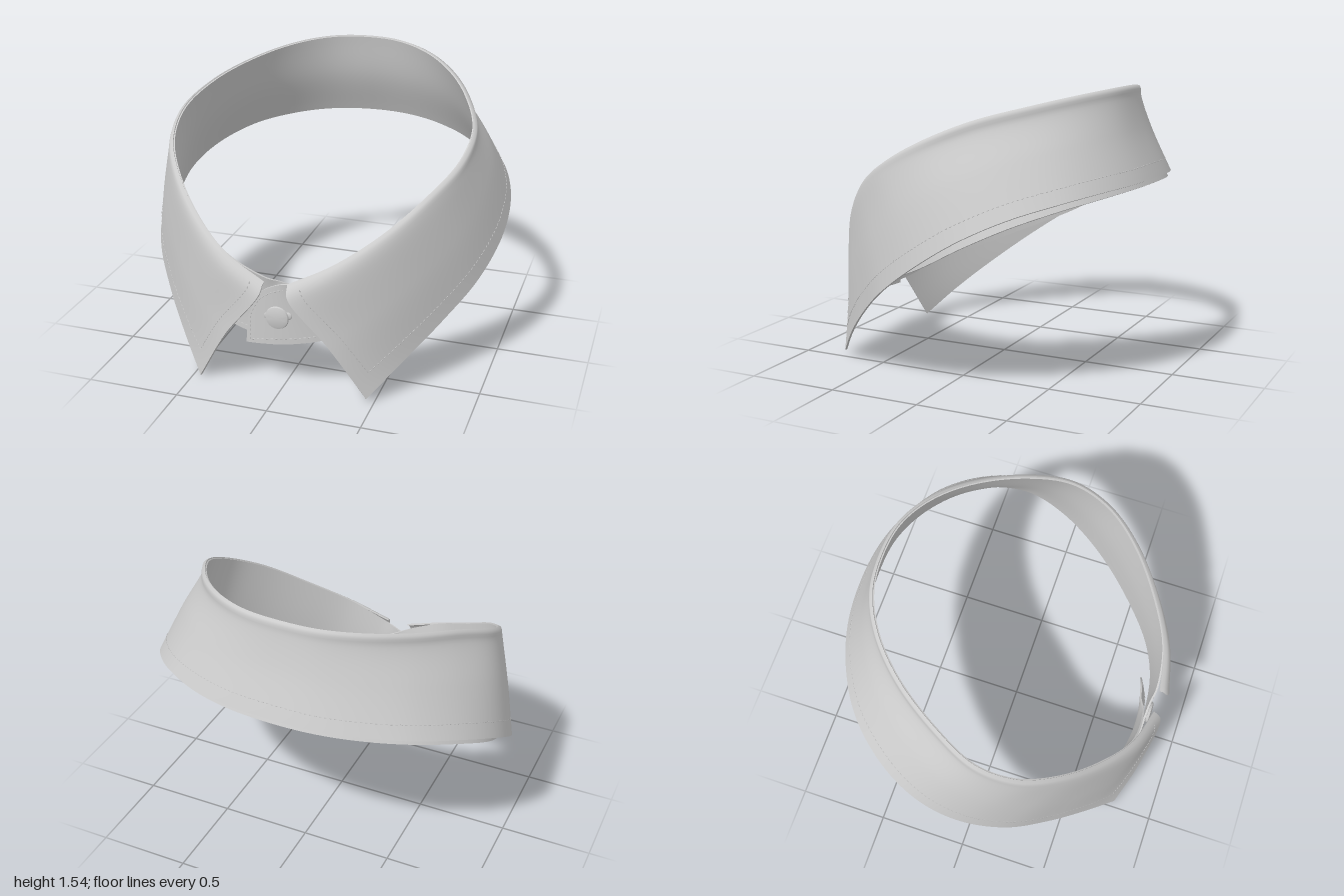
import * as THREE from 'three';
import { mergeGeometries, toCreasedNormals } from 'three/addons/utils/BufferGeometryUtils.js';

const material = new THREE.MeshStandardMaterial({ color: 0xcccccc, side: THREE.DoubleSide });
const V = (x, y, z) => new THREE.Vector3(x, y, z);
const vecs = (list) => list.map((p) => V(...p));
const mirror = (list) => list.map((p) => V(-p.x, p.y, p.z));
// Joins a right and a left half (each from centre back to front); the left side sits a little higher
const around = (right, left) => new THREE.CatmullRomCurve3(
  [...mirror(right).reverse(), ...left.slice(1)].map((p) => V(p.x, p.y + 0.025 * p.x, p.z)));

// Left half of the fold at the top of the collar, from centre back to front
const foldPoints = vecs([
  [0, 1.54, -0.728], [0.2, 1.533, -0.703], [0.392, 1.508, -0.605], [0.575, 1.46, -0.43],
  [0.735, 1.385, -0.18], [0.825, 1.285, 0.05], [0.805, 1.175, 0.265], [0.7, 1.06, 0.452],
  [0.515, 0.9, 0.64], [0.295, 0.76, 0.78], [0.065, 0.65, 0.84]]);
// Lower edge of the turned-down leaf, ending in the point
const leafEdge = vecs([
  [0, 1.07, -0.89], [0.25, 1.062, -0.868], [0.48, 1.045, -0.792], [0.7, 1.008, -0.66],
  [0.885, 0.935, -0.45], [0.98, 0.83, -0.235], [0.992, 0.69, -0.01], [0.914, 0.515, 0.24],
  [0.767, 0.342, 0.45], [0.605, 0.172, 0.63], [0.46, 0.015, 0.77]]);
// Lower edge of the inner stand
const standEdge = vecs([
  [0, 1.04, -0.88], [0.245, 1.033, -0.856], [0.47, 1.01, -0.777], [0.682, 0.967, -0.64],
  [0.855, 0.885, -0.43], [0.937, 0.785, -0.225], [0.92, 0.665, 0], [0.805, 0.555, 0.25],
  [0.62, 0.45, 0.49], [0.42, 0.38, 0.67]]);

const fold = around(foldPoints, foldPoints);
const outward = (u) => {
  const t = fold.getTangent(u);
  return V(t.z, 0, -t.x).normalize();
};

// Leaf cross-section: turns over the fold, then flares down to its edge
const leafBottom = around(leafEdge, leafEdge);
function leafSection(u) {
  const f = fold.getPoint(u), b = leafBottom.getPoint(u), out = outward(u);
  const s = Math.abs(u - 0.5) * 2;
  const shift = (p, o, y) => p.clone().addScaledVector(out, o).add(V(0, y, 0));
  return new THREE.CatmullRomCurve3([
    shift(f, -0.01, -0.006), shift(f, 0.004, -0.012), shift(f, 0.01 + 0.028 * s ** 4, -0.06),
    shift(f.clone().lerp(b, 0.5), 0.06 * s ** 1.5 - 0.02, 0), b]);
}

// Stand cross-section; its two front ends overlap at the button
const standTop = foldPoints.slice(0, 10).map((p, i) =>
  p.clone().addScaledVector(outward(0.5 + i / 20), -0.012).add(V(0, -0.008, 0)));
const upper = around(
  [...standTop, ...vecs([[0.08, 0.645, 0.775], [0, 0.612, 0.74], [-0.1, 0.57, 0.718], [-0.165, 0.48, 0.705]])],
  [...standTop, ...vecs([[0.08, 0.645, 0.81], [-0.01, 0.618, 0.797], [-0.1, 0.565, 0.792], [-0.17, 0.42, 0.792]])]);
const lower = around(
  [...standEdge, ...vecs([[0.25, 0.325, 0.735], [0.05, 0.3, 0.765], [-0.09, 0.29, 0.765], [-0.17, 0.295, 0.735]])],
  [...standEdge, ...vecs([[0.25, 0.325, 0.755], [0.05, 0.285, 0.788], [-0.09, 0.275, 0.797], [-0.18, 0.272, 0.795]])]);
function standSection(u) {
  const a = upper.getPoint(u), b = lower.getPoint(u), t = upper.getTangent(u);
  const s = Math.min(1, Math.abs(u - 0.5) * 2.6);
  const mid = a.clone().lerp(b, 0.5).addScaledVector(V(t.z, 0, -t.x).normalize(), -0.03 * (1 - s));
  return new THREE.CatmullRomCurve3([a, mid, b]);
}

// Closed cloth sheet swept through the cross-sections
function sheet(section, nu, nv, thickness) {
  const rows = [];
  for (let i = 0; i <= nu; i++) rows.push(section(i / nu).getSpacedPoints(nv));
  const pos = [], idx = [];
  const id = (i, j, side) => (i * (nv + 1) + j) * 2 + side;
  for (let i = 0; i <= nu; i++) {
    for (let j = 0; j <= nv; j++) {
      const du = rows[Math.min(i + 1, nu)][j].clone().sub(rows[Math.max(i - 1, 0)][j]);
      const dv = rows[i][Math.min(j + 1, nv)].clone().sub(rows[i][Math.max(j - 1, 0)]);
      const n = du.cross(dv).normalize();
      for (const k of [0.5, -0.5]) {
        pos.push(...rows[i][j].clone().addScaledVector(n, k * thickness).toArray());
      }
    }
  }
  const quad = (a, b, c, d) => idx.push(a, b, c, a, c, d);
  for (let i = 0; i < nu; i++) {
    for (let j = 0; j < nv; j++) {
      quad(id(i, j, 0), id(i + 1, j, 0), id(i + 1, j + 1, 0), id(i, j + 1, 0));
      quad(id(i, j, 1), id(i, j + 1, 1), id(i + 1, j + 1, 1), id(i + 1, j, 1));
    }
    quad(id(i, 0, 0), id(i, 0, 1), id(i + 1, 0, 1), id(i + 1, 0, 0));
    quad(id(i, nv, 0), id(i + 1, nv, 0), id(i + 1, nv, 1), id(i, nv, 1));
  }
  for (let j = 0; j < nv; j++) {
    quad(id(0, j, 0), id(0, j + 1, 0), id(0, j + 1, 1), id(0, j, 1));
    quad(id(nu, j, 0), id(nu, j, 1), id(nu, j + 1, 1), id(nu, j + 1, 0));
  }
  const g = new THREE.BufferGeometry();
  g.setAttribute('position', new THREE.Float32BufferAttribute(pos, 3));
  g.setIndex(idx);
  return toCreasedNormals(g, 1);
}

// Row of short thread dashes along a (u, v) path on a sheet
function stitches(section, corners, lift) {
  const dashes = [];
  for (let k = 0; k + 1 < corners.length; k++) {
    const [u0, v0] = corners[k], [u1, v1] = corners[k + 1], pts = [];
    for (let i = 0; i <= 60; i++) {
      const u = u0 + (u1 - u0) * i / 60, v = v0 + (v1 - v0) * i / 60;
      const p = section(u).getPointAt(v), e = 0.002;
      const du = section(u + e).getPointAt(v).sub(section(u - e).getPointAt(v));
      const dv = section(u).getPointAt(v + e).sub(section(u).getPointAt(v - e));
      pts.push(p.addScaledVector(du.cross(dv).normalize(), lift));
    }
    const path = new THREE.CatmullRomCurve3(pts);
    const n = Math.max(2, Math.round(path.getLength() / 0.025));
    const ends = path.getSpacedPoints(n * 2);
    for (let i = 0; i < n; i++) {
      dashes.push(new THREE.TubeGeometry(new THREE.LineCurve3(ends[2 * i], ends[2 * i + 1]), 1, 0.003, 4));
    }
  }
  return mergeGeometries(dashes);
}

export function createModel() {
  const model = new THREE.Group();
  const add = (name, geometry) => {
    const mesh = new THREE.Mesh(geometry, material);
    mesh.name = name;
    model.add(mesh);
    return mesh;
  };

  add('collarLeaf', sheet(leafSection, 160, 36, 0.01));
  add('collarStand', sheet(standSection, 182, 14, 0.01));

  // Topstitching along the leaf edges and around the button tab
  add('leafStitching', stitches(leafSection,
    [[0.0145, 0.06], [0.0175, 0.86], [0.5, 0.85], [0.9825, 0.86], [0.9855, 0.06]], 0.005));
  const at = (i) => 0.5 + i / 26;
  add('tabStitching', stitches(standSection,
    [[at(9), 0.92], [at(12.75), 0.9], [at(12.75), 0.12], [at(10), 0.08]], 0.005));
  add('underTabStitching', stitches(standSection, [[at(-9), 0.92], [at(-12.7), 0.92]], 0.005));

  // Domed button on a horizontal buttonhole
  const profile = [[0, -0.008], [0.056, -0.008], [0.063, 0], [0.06, 0.008], [0.045, 0.013], [0, 0.016]]
    .map((p) => new THREE.Vector2(...p));
  const button = add('button', toCreasedNormals(new THREE.LatheGeometry(profile, 32), 0.6));
  button.rotation.x = Math.PI / 2;
  button.position.set(-0.005, 0.44, 0.808);
  const hole = add('buttonhole', new THREE.CapsuleGeometry(0.022, 0.11, 6, 12));
  hole.rotation.z = Math.PI / 2 + 0.12;
  hole.scale.z = 0.35;
  hole.position.set(-0.005, 0.445, 0.797);
  return model;
}
